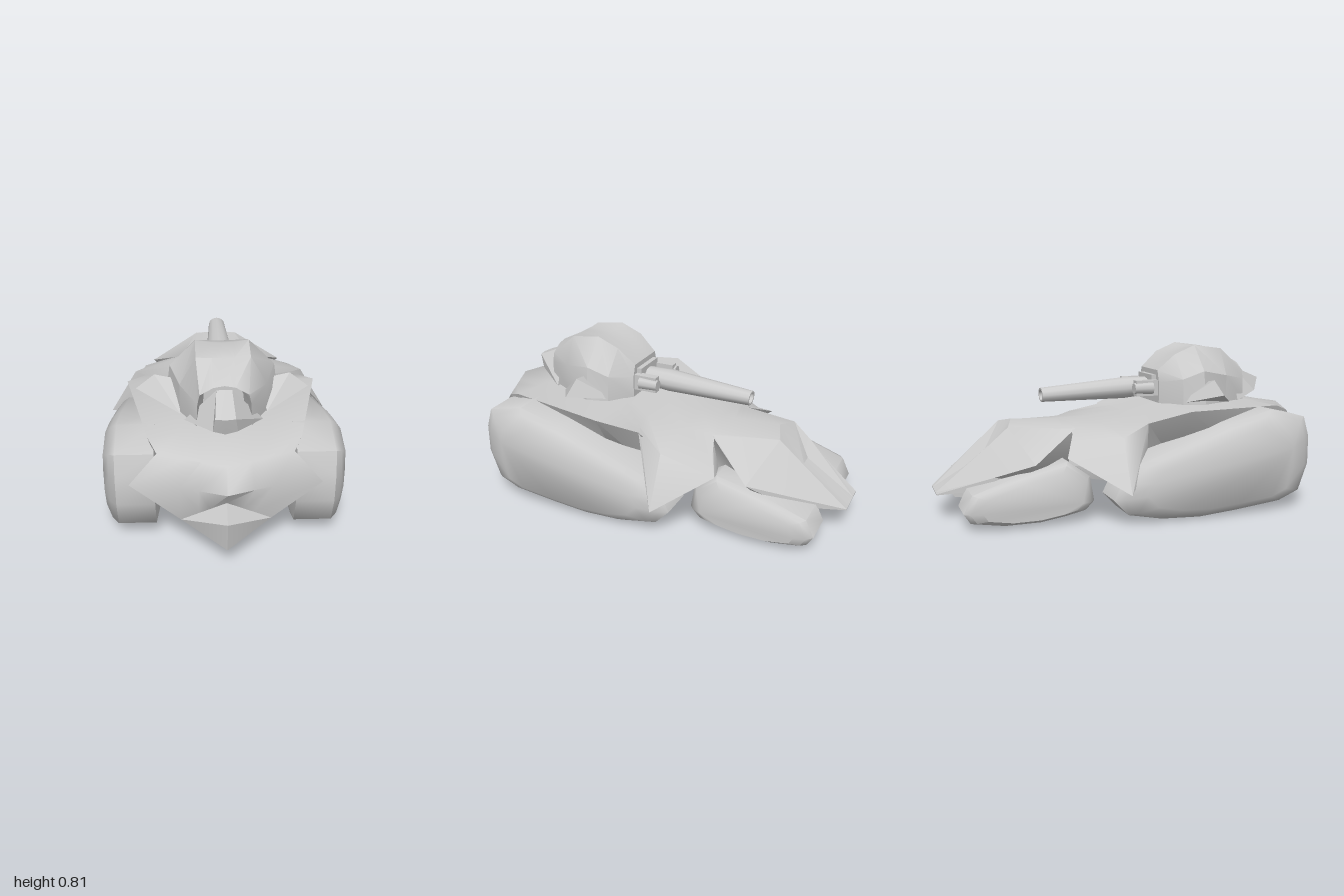
import * as THREE from 'three';
import { toCreasedNormals } from 'three/addons/utils/BufferGeometryUtils.js';
import { ConvexGeometry } from 'three/addons/geometries/ConvexGeometry.js';

const grey = new THREE.MeshStandardMaterial({ color: 0xcccccc });
const lerp = THREE.MathUtils.lerp;
const mix = (a, b, t) => a.map((v, i) => lerp(v, b[i], t));

function add(parent, name, geo) {
  const mesh = new THREE.Mesh(geo, grey);
  mesh.name = name;
  parent.add(mesh);
  return mesh;
}

// Same part on the left and, mirrored, on the right
function addPair(parent, name, geo) {
  add(parent, name + 'Left', geo);
  add(parent, name + 'Right', geo).scale.x = -1;
}

// Closes a half section (top centre to bottom centre) with its mirror image
const ring = (half) => [...half, ...half.slice(1, -1).reverse().map(([x, y, z]) => [-x, y, z])];

// Skins a row of rings and caps both ends
function skin(rings, crease = 0.6) {
  const pos = [];
  const a = new THREE.Vector3(), b = new THREE.Vector3(), c = new THREE.Vector3();
  const tri = (p, q, r) => {
    a.set(...p); b.set(...q).sub(a); c.set(...r).sub(a);
    if (b.cross(c).length() > 1e-7) pos.push(...p, ...q, ...r);
  };
  const n = rings[0].length;
  for (let i = 0; i + 1 < rings.length; i++) {
    for (let j = 0; j < n; j++) {
      const k = (j + 1) % n, r = rings[i], s = rings[i + 1];
      tri(r[j], r[k], s[k]);
      tri(r[j], s[k], s[j]);
    }
  }
  const first = rings[0], last = rings[rings.length - 1];
  for (let j = 1; j + 1 < n; j++) {
    tri(first[0], first[j + 1], first[j]);
    tri(last[0], last[j], last[j + 1]);
  }
  const geo = new THREE.BufferGeometry();
  geo.setAttribute('position', new THREE.Float32BufferAttribute(pos, 3));
  return toCreasedNormals(geo, crease);
}

// Track pod: a side profile of [z, y], scaled about its middle at each [x, scale]
function trackPod(profile, slices) {
  const cz = profile.reduce((s, p) => s + p[0], 0) / profile.length;
  const cy = profile.reduce((s, p) => s + p[1], 0) / profile.length;
  return skin(slices.map(([x, s]) =>
    profile.map(([z, y]) => [x, cy + (y - cy) * s, cz + (z - cz) * s])), 0.85);
}

// Height of the hull floor along z
const keel = (z) => z > -0.3 ? 0.165 + (0.84 - z) * 0.075 : lerp(0.25, 0.12, (-0.3 - z) / 0.7);

// Hull section: crest [y, z], edge point, optional middle and inner points
function hullRing([cy, cz], edge, mid, inner) {
  const crest = [0, cy, cz];
  mid = mid || mix(crest, edge, 0.6);
  inner = inner || mix(crest, mid, 0.6);
  const nose = cz > 0.84;
  const floor = nose ? [0.2, 0.165, 0.84] : [Math.min(edge[0], 0.27), keel(cz), cz];
  const floorMid = nose ? [0, 0.1, 0.98] : [0, keel(cz), cz];
  return ring([crest, inner, mid, edge, floor, floorMid]);
}

export function createModel() {
  const model = new THREE.Group();
  model.name = 'hoverTank';

  // Hull from beak, over the drooping wings, to the tail root
  const tailRoot = hullRing([0.455, -0.615], [0.37, 0.29, -0.58], [0.115, 0.43, -0.655], [0.11, 0.43, -0.655]);
  add(model, 'hull', skin([
    hullRing([0.245, 1], [0.2, 0.165, 0.84]),
    hullRing([0.29, 0.9], [0.2, 0.165, 0.84]),
    hullRing([0.37, 0.965], [0.425, 0.33, 0.81], [0.2, 0.355, 0.875]),
    hullRing([0.47, 0.9], [0.3, 0.47, 0.78]),
    hullRing([0.51, 0.6], [0.34, 0.5, 0.7]),
    hullRing([0.515, 0.16], [0.465, 0.513, 0.16]),
    hullRing([0.47, 0.01], [0.385, 0.455, -0.03], [0.34, 0.46, -0.015], [0.2, 0.465, 0.02]),
    hullRing([0.45, -0.19], [0.59, 0.165, -0.19], [0.45, 0.405, -0.18], [0.2, 0.435, -0.19]),
    hullRing([0.445, -0.31], [0.41, 0.32, -0.44], [0.32, 0.37, -0.39], [0.19, 0.425, -0.33]),
    hullRing([0.445, -0.38], [0.2, 0.42, -0.34], [0.19, 0.42, -0.345], [0.18, 0.425, -0.35]),
    tailRoot,
  ], 1));

  // Tail with its recessed groove
  add(model, 'tail', skin([
    tailRoot,
    hullRing([0.27, -0.75], [0.26, 0.223, -0.75], [0.11, 0.346, -0.75], [0.065, 0.27, -0.75]),
    hullRing([0.125, -1], [0.095, 0.125, -1]),
  ], 0.5));

  // Track pods, rounded towards the outer face
  addPair(model, 'frontTrack', trackPod([
    [0.8, 0.36], [0.77, 0.46], [0.58, 0.505], [0.35, 0.445], [-0.12, 0.28], [-0.2, 0.2], [-0.24, 0.12],
    [-0.17, 0.045], [0, 0.01], [0.2, 0], [0.4, 0.015], [0.64, 0.04], [0.75, 0.085], [0.8, 0.22],
  ], [[0.548, 0.74], [0.515, 0.92], [0.485, 1], [0.313, 1], [0.265, 0.3]]));
  addPair(model, 'rearTrack', trackPod([
    [-0.29, 0.09], [-0.31, 0.21], [-0.42, 0.29], [-0.65, 0.24], [-0.87, 0.165], [-0.91, 0.08],
    [-0.88, 0.035], [-0.73, 0.01], [-0.56, 0.01], [-0.42, 0.03], [-0.33, 0.05],
  ], [[0.39, 0.76], [0.365, 0.92], [0.335, 1], [0.168, 1]]));

  // Turret dome: z, crest y, shoulder x and y, flank x and y, base x.
  // The first row lies back inside the hood and makes the dark mouth.
  const turret = new THREE.Group();
  turret.name = 'turret';
  model.add(turret);
  const base = 0.512;
  add(turret, 'turretDome', skin([
    [0.52, 0.68, 0.06, 0.68, 0.09, 0.62, 0.1],
    [0.62, 0.71, 0.11, 0.665, 0.12, 0.62, 0.125],
    [0.48, 0.78, 0.125, 0.785, 0.2, 0.65, 0.2],
    [0.33, 0.79, 0.125, 0.805, 0.247, 0.68, 0.27],
    [0.22, 0.755, 0.125, 0.76, 0.23, 0.64, 0.24],
    [0.13, 0.68, 0.11, 0.68, 0.13, 0.62, 0.13],
  ].map(([z, cy, sx, sy, fx, fy, bx]) =>
    ring([[0, cy, z], [0.05, lerp(cy, sy, 0.2), z], [sx, sy, z], [fx, fy, z], [bx, base, z], [0, base, z]])), 0.5));

  // Turret snout, and a side fin on each side
  add(turret, 'turretSnout', skin([
    ring([[0, 0.615, 0.757], [0.045, 0.615, 0.75], [0.055, 0.545, 0.73], [0, 0.53, 0.73]]),
    ring([[0, 0.68, 0.6], [0.035, 0.68, 0.6], [0.18, base, 0.56], [0, base, 0.56]]),
  ]));
  addPair(turret, 'turretFin', new ConvexGeometry([
    [0.408, 0.575, 0.36], [0.32, 0.642, 0.35], [0.2, 0.62, 0.36], [0.2, base, 0.5], [0.2, base, 0.2],
  ].map((p) => new THREE.Vector3(...p))));

  // Gun barrel with an open muzzle, pointing to the rear
  const barrel = new THREE.LatheGeometry([
    [0, 0], [0.046, 0], [0.055, 0.16], [0.036, 0.6], [0.027, 0.6], [0.022, 0.5], [0, 0.5],
  ].map((p) => new THREE.Vector2(...p)), 12);
  barrel.rotateX(-Math.PI / 2).scale(1.2, 1, 1);
  const gun = add(turret, 'gunBarrel', toCreasedNormals(barrel, 0.7));
  gun.position.set(0, 0.59, 0.14);
  gun.rotation.x = -0.04;

  // Gun cradle: two arms with short side tubes and a cross bar
  addPair(turret, 'cradleArm', new THREE.BoxGeometry(0.04, 0.08, 0.15).translate(0.1, 0.59, 0.085));
  addPair(turret, 'cradleTube',
    new THREE.CylinderGeometry(0.028, 0.033, 0.1, 8).rotateX(-Math.PI / 2).translate(0.112, 0.59, 0.05));
  add(turret, 'cradleBar', new THREE.BoxGeometry(0.18, 0.07, 0.03).translate(0, 0.62, 0.12));

  return model;
}
